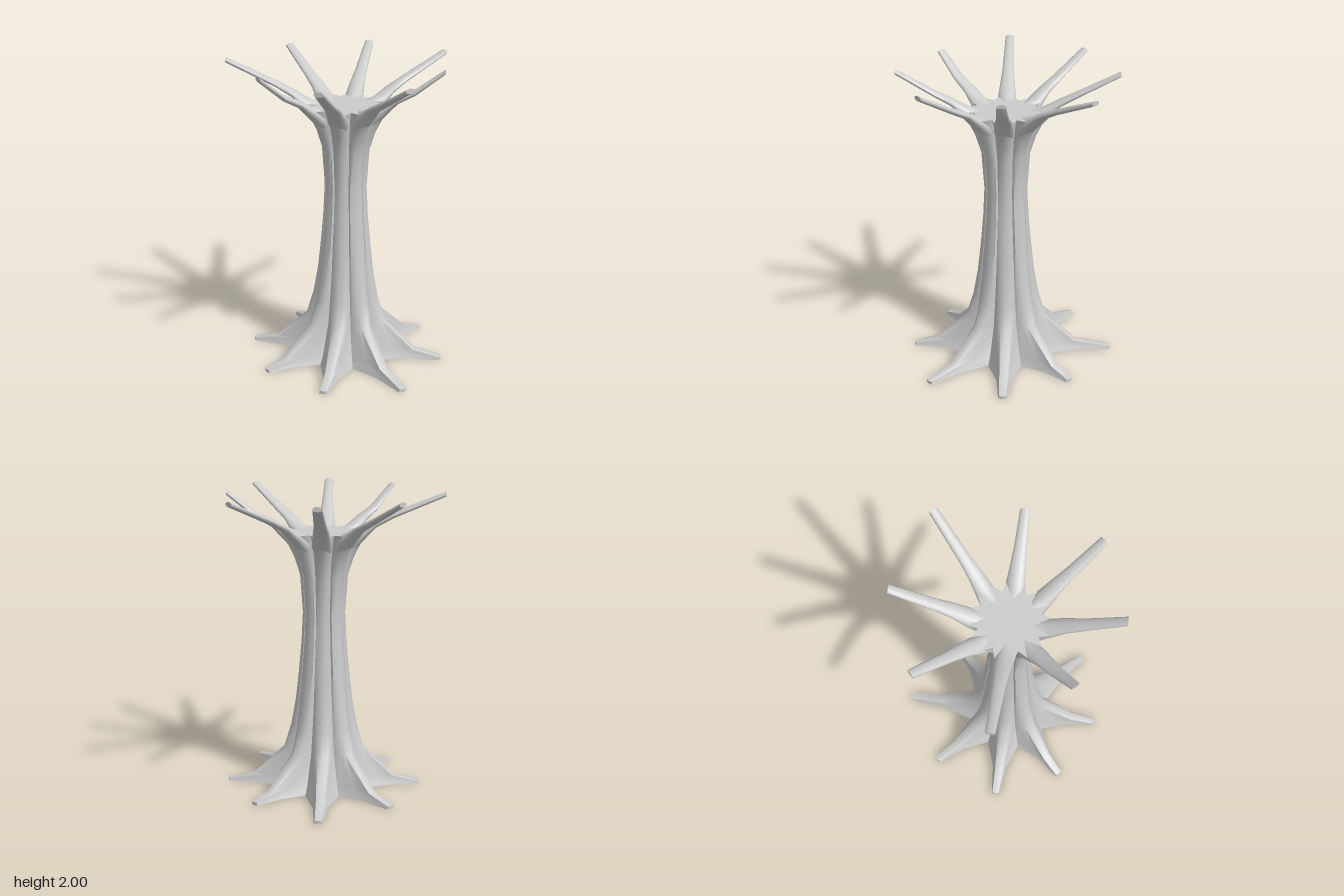
import * as THREE from 'three';
import { toCreasedNormals } from 'three/addons/utils/BufferGeometryUtils.js';

const CX = 0.04, CZ = 0.04, LOBES = 8;
const branchTips = [0.70, 0.69, 0.62, 0.785, 0.71, 0.72, 0.77, 0.63];
const rootTips = [0.70, 0.64, 0.62, 0.65, 0.65, 0.72, 0.62, 0.66];

// Point in a lobe's own frame: u outward, v sideways
function lobePoint(k, u, v, y) {
  const a = (k + 0.5) * Math.PI / 4, c = Math.cos(a), s = Math.sin(a);
  return new THREE.Vector3(CX + u * c - v * s, y, CZ + u * s + v * c);
}

// Closed skin through rings of equal point count, with fan caps
function loft(rings, startCentre, endCentre, crease) {
  const n = rings[0].length, last = (rings.length - 1) * n, index = [];
  const points = [...rings.flat(), startCentre, endCentre];
  for (let i = 0; i < rings.length - 1; i++) {
    for (let j = 0; j < n; j++) {
      const a = i * n + j, b = i * n + (j + 1) % n;
      index.push(a, a + n, b, b, a + n, b + n);
    }
  }
  for (let j = 0; j < n; j++) {
    const j2 = (j + 1) % n;
    index.push(last + n, j, j2, last + n + 1, last + j2, last + j);
  }
  const geometry = new THREE.BufferGeometry().setFromPoints(points);
  geometry.setIndex(index);
  return toCreasedNormals(geometry, crease);
}

// Fluted trunk: star-shaped slices that spread into roots at the ground
function trunkGeometry() {
  // height, ridge radius (0 = root tip), valley radius, ridge half-width
  const levels = [
    [0, 0, 0.29, 0.04], [0.02, 0, 0.28, 0.032], [0.06, 0.48, 0.26, 0.04],
    [0.26, 0.27, 0.20, 0.05], [0.42, 0.222, 0.178, 0.05], [0.6, 0.19, 0.158, 0.047],
    [0.8, 0.168, 0.142, 0.044], [1.0, 0.15, 0.127, 0.04], [1.2, 0.14, 0.118, 0.037],
    [1.45, 0.157, 0.128, 0.04], [1.57, 0.195, 0.145, 0.045],
    [1.68, 0.25, 0.172, 0.05], [1.74, 0.30, 0.20, 0.05],
  ];
  const rings = levels.map(([y, ridge, valley, w]) => {
    const ring = [];
    for (let k = 0; k < LOBES; k++) {
      const R = ridge || rootTips[k];
      const vu = valley * Math.cos(Math.PI / 8), vv = valley * Math.sin(Math.PI / 8);
      const mu = vu + (R - vu) * 0.45, mv = Math.min(w * 1.2, vv * 0.97);
      const su = R - w * 0.25, sv = w * 0.7;
      const half = [[vu, -vv], [mu, -mv], [su, -sv], [R, 0], [su, sv], [mu, mv]];
      half.forEach(([u, v]) => ring.push(lobePoint(k, u, v, y)));
    }
    return ring;
  });
  return loft(rings, new THREE.Vector3(CX, 0, CZ), new THREE.Vector3(CX, 1.735, CZ), 1.0);
}

// Branch: deep buttress at the trunk, thinning to a slim limb
function branchGeometry(k) {
  const tip = branchTips[k], sides = 14;
  // distance out, underside, top, half-width
  const sections = [
    [0.13, 1.52, 1.735, 0.05], [0.19, 1.60, 1.745, 0.066], [0.25, 1.67, 1.768, 0.062],
    [0.34, 1.765, 1.815, 0.05], [0.45, 1.825, 1.867, 0.04], [tip, 1.968, 2.0, 0.03],
  ];
  const rings = sections.map(([u, low, high, w]) => Array.from({ length: sides }, (_, j) => {
    const t = j / sides * Math.PI * 2;
    return lobePoint(k, u, -w * Math.sin(t), (low + high) / 2 + (high - low) / 2 * Math.cos(t));
  }));
  return loft(rings, lobePoint(k, 0.13, 0, 1.63), lobePoint(k, tip, 0, 1.984), 1.0);
}

export function createModel() {
  const group = new THREE.Group();
  group.name = 'treeTrunk';
  const bark = new THREE.MeshStandardMaterial({ color: 0xcccccc });

  const trunk = new THREE.Mesh(trunkGeometry(), bark);
  trunk.name = 'trunkWithRoots';
  group.add(trunk);

  for (let k = 0; k < LOBES; k++) {
    const branch = new THREE.Mesh(branchGeometry(k), bark);
    branch.name = `branch${k + 1}`;
    group.add(branch);
  }
  return group;
}
